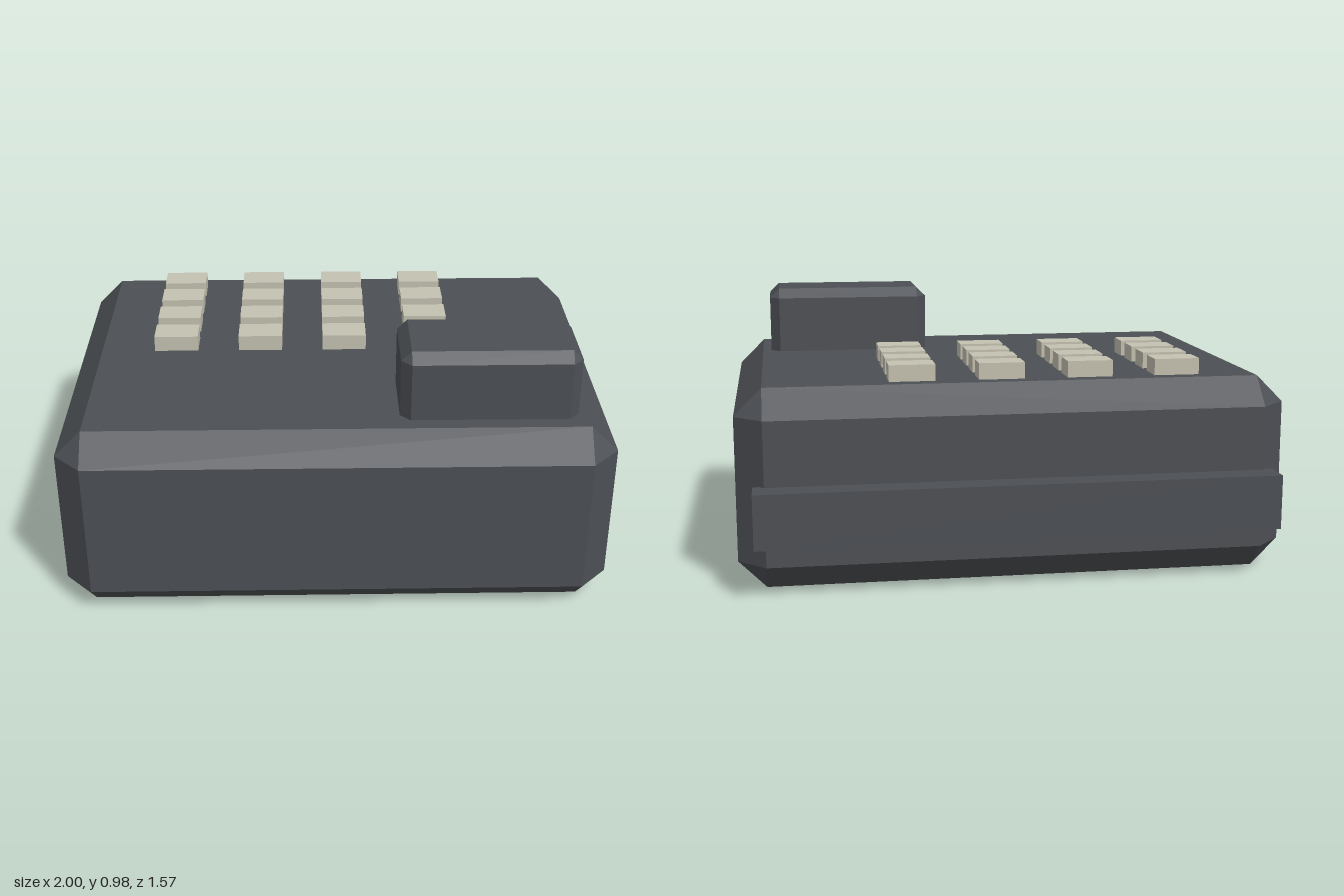
import * as THREE from 'three';
import { ConvexGeometry } from 'three/addons/geometries/ConvexGeometry.js';

const casing = new THREE.MeshStandardMaterial({ name: 'charcoal', color: 0x4c4f54 });
const keycap = new THREE.MeshStandardMaterial({ name: 'beige', color: 0xc4c1b0 });

// Box with every edge chamfered by b and a triangular facet on each corner
function chamferedBox(w, h, d, b) {
  const points = [];
  for (const x of [-1, 1]) for (const y of [-1, 1]) for (const z of [-1, 1]) {
    for (let full = 0; full < 3; full++) {
      const inset = (axis) => (axis === full ? 0 : b);
      points.push(new THREE.Vector3(
        x * (w / 2 - inset(0)), y * (h / 2 - inset(1)), z * (d / 2 - inset(2))));
    }
  }
  return new ConvexGeometry(points);
}

function addPart(parent, name, geometry, material, x, y, z) {
  const mesh = new THREE.Mesh(geometry, material);
  mesh.name = name;
  mesh.position.set(x, y, z);
  parent.add(mesh);
}

export function createModel() {
  const model = new THREE.Group();
  model.name = 'keypadMachine';

  // Main casing
  addPart(model, 'body', chamferedBox(2, 0.723, 1.476, 0.1), casing, 0, 0.3615, 0.049);

  // Raised block at the front left corner, sunk into the casing
  addPart(model, 'raisedBlock', chamferedBox(0.64, 0.32, 0.328, 0.037), casing, 0.546, 0.818, 0.467);

  // Bar along the back
  addPart(model, 'backBar', new THREE.BoxGeometry(1.88, 0.198, 0.114), casing, 0, 0.29, -0.73);

  // Four by four keypad
  const keys = new THREE.Group();
  keys.name = 'keypad';
  const keyGeometry = new THREE.BoxGeometry(0.168, 0.08, 0.109);
  for (let row = 0; row < 4; row++) {
    for (let col = 0; col < 4; col++) {
      addPart(keys, 'key', keyGeometry, keycap, -0.611 + col * 0.326, 0.743, -0.48 + row * 0.167);
    }
  }
  model.add(keys);

  return model;
}
